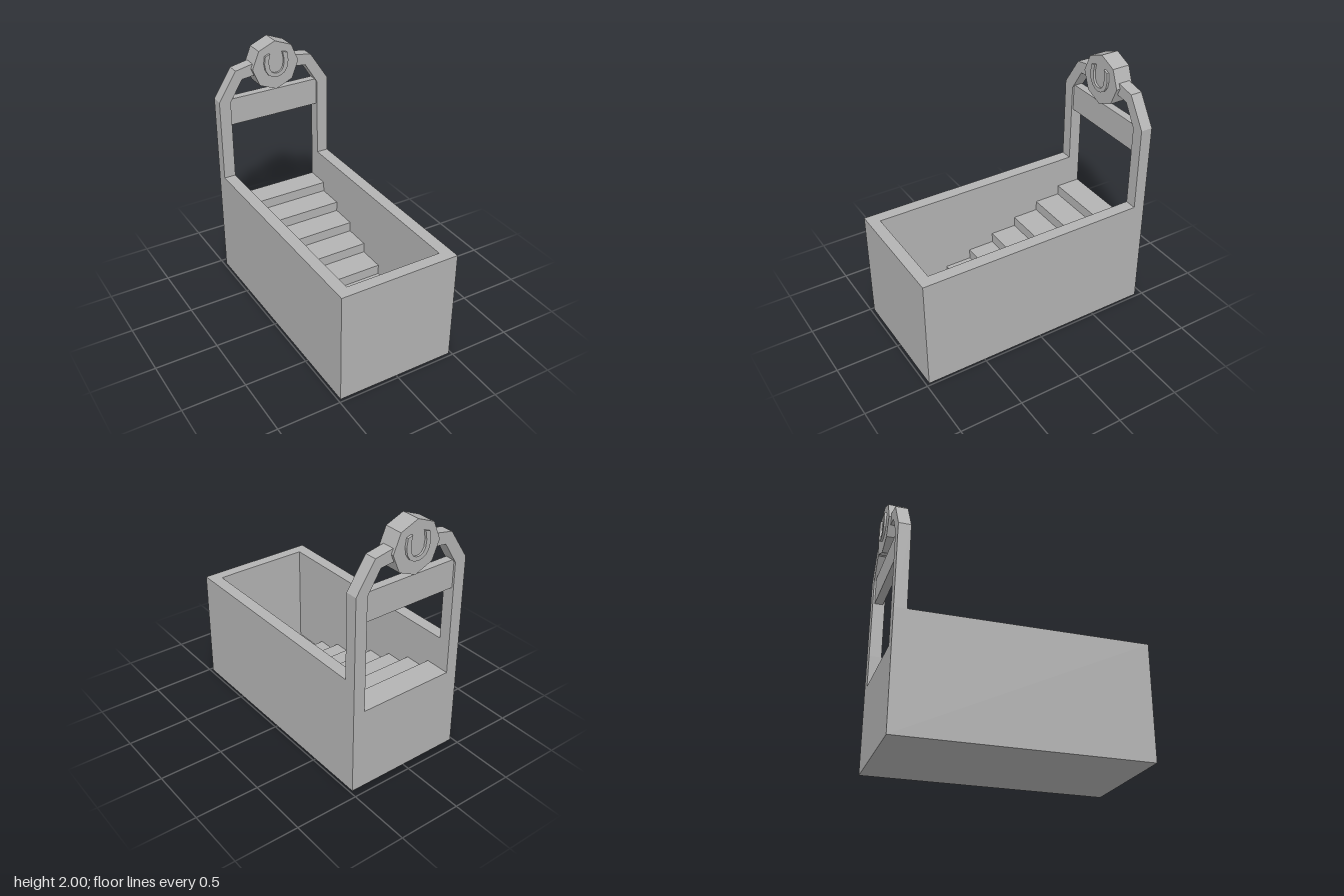
import * as THREE from 'three';

const BACK = -0.94, FRONT = 0.975;   // z limits of the trough
const HALF = 0.48, INNER = 0.385;    // outer and inner half widths
const RIM = 0.91, SILL = 0.66;       // wall top and doorway sill heights

export function createModel() {
  const model = new THREE.Group();
  model.name = 'steppedTrough';
  const stone = new THREE.MeshStandardMaterial({ color: 0xb3b3b3, flatShading: true });
  stone.name = 'grey stone';

  const add = (name, geometry, x = 0, y = 0, z = 0) => {
    const mesh = new THREE.Mesh(geometry, stone);
    mesh.name = name;
    mesh.position.set(x, y, z);
    model.add(mesh);
    return mesh;
  };
  const block = (name, x0, x1, y0, y1, z0, z1) =>
    add(name, new THREE.BoxGeometry(x1 - x0, y1 - y0, z1 - z0), (x0 + x1) / 2, (y0 + y1) / 2, (z0 + z1) / 2);
  const extrude = (points, depth) =>
    new THREE.ExtrudeGeometry(new THREE.Shape(points.map(([x, y]) => new THREE.Vector2(x, y))),
      { depth, bevelEnabled: false });

  // Trough walls
  block('rightWall', -HALF, -INNER, 0, RIM, BACK, FRONT);
  block('leftWall', INNER, HALF, 0, RIM, BACK, FRONT);
  block('frontWall', -INNER, INNER, 0, RIM, 0.885, FRONT);

  // Stairs descending from the doorway sill to the floor
  const edges = [-0.74, -0.522, -0.305, -0.088, 0.13, 0.347, 0.565, 0.885];
  const rise = SILL / edges.length;
  const profile = [[BACK, 0], [BACK, SILL]];
  edges.forEach((z, i) => {
    profile.push([z, SILL - i * rise], [z, i === edges.length - 1 ? 0 : SILL - (i + 1) * rise]);
  });
  const stairs = extrude(profile, INNER * 2);
  stairs.translate(0, 0, -INNER);
  stairs.rotateY(-Math.PI / 2);
  add('stairs', stairs);

  // Mirrored posts bending inward to form the arch
  const half = [[HALF, RIM], [HALF, 1.58], [0.33, 1.81], [0.15, 1.845],
    [0.15, 1.745], [0.28, 1.73], [INNER, 1.56], [INNER, RIM]];
  for (const [side, name] of [[1, 'leftArchPost'], [-1, 'rightArchPost']]) {
    add(name, extrude(half.map(([x, y]) => [x * side, y]), 0.095), 0, 0, BACK);
  }

  // Lintel between the posts
  block('crossbar', -INNER, INNER, 1.36, 1.58, -0.925, -0.86);

  // Octagonal keystone with a vertex at the top
  const medallion = new THREE.CylinderGeometry(0.2, 0.2, 0.145, 8);
  medallion.rotateX(Math.PI / 2);
  add('medallion', medallion, 0, 1.8, -0.887);

  // Raised horseshoe passing through both faces of the keystone
  const outer = [[-0.095, 1.895], [-0.104, 1.83], [-0.095, 1.775], [-0.07, 1.735], [-0.035, 1.714], [0, 1.708]];
  const inner = [[-0.055, 1.907], [-0.067, 1.84], [-0.06, 1.785], [-0.042, 1.755], [-0.02, 1.743], [0, 1.74]];
  const mirrored = pts => [...pts, ...pts.slice(0, -1).reverse().map(([x, y]) => [-x, y])];
  add('horseshoe', extrude([...mirrored(outer), ...mirrored(inner).reverse()], 0.18), 0, 0, -0.977);

  return model;
}
